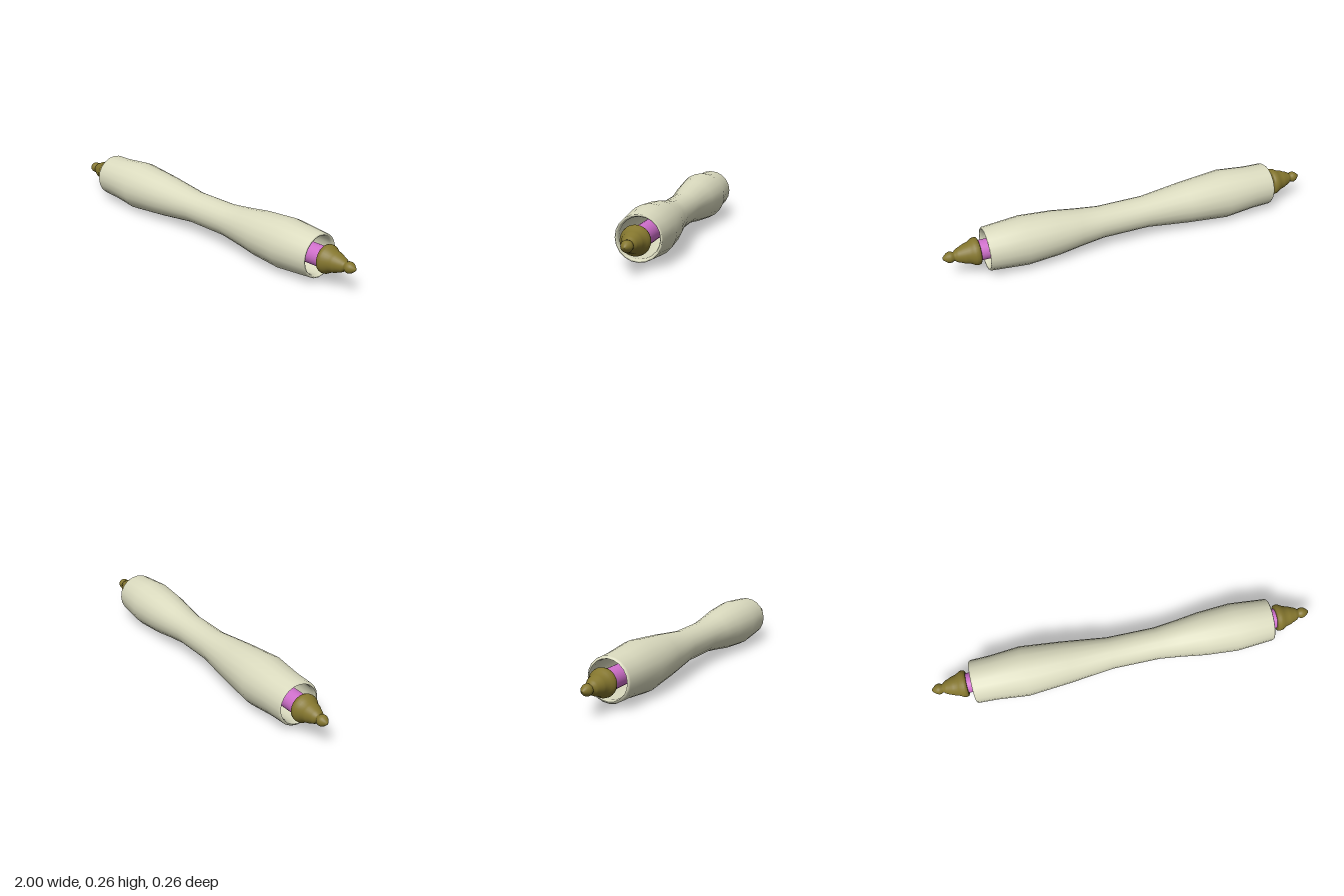
import * as THREE from 'three';

const AXIS_Y = 0.131;

// Revolve [x, radius] pairs around the long (x) axis
function turned(name, profile, segments, material) {
  const points = profile.map(([x, r]) => new THREE.Vector2(r, x));
  const geometry = new THREE.LatheGeometry(points, segments);
  geometry.rotateZ(-Math.PI / 2);
  const mesh = new THREE.Mesh(geometry, material);
  mesh.name = name;
  return mesh;
}

export function createModel() {
  const group = new THREE.Group();
  group.name = 'turnedRod';
  const ivory = new THREE.MeshStandardMaterial({ color: 0xdcdcc0, side: THREE.DoubleSide });
  const pink = new THREE.MeshStandardMaterial({ color: 0xd070cc });
  const bronze = new THREE.MeshStandardMaterial({ color: 0x84762e });

  // Hollow waisted sleeve: outer wall left to right, then inner wall back
  const outer = [
    [-0.79, 0.1], [-0.788, 0.106], [-0.78, 0.112], [-0.68, 0.115], [-0.52, 0.13],
    [-0.3, 0.11], [-0.07, 0.083], [0.18, 0.083], [0.3, 0.097], [0.42, 0.114],
    [0.59, 0.126], [0.7, 0.117], [0.783, 0.11], [0.787, 0.106],
  ];
  const inner = [
    [0.785, 0.1], [0.77, 0.095], [0.59, 0.105], [0.4, 0.096], [0.18, 0.066],
    [-0.07, 0.066], [-0.3, 0.092], [-0.52, 0.108], [-0.77, 0.095], [-0.79, 0.1],
  ];
  group.add(turned('sleeve', [...outer, ...inner], 20, ivory));

  // Core rod running through the sleeve
  group.add(turned('coreRod', [[-0.83, 0], [-0.83, 0.051], [0.83, 0.051], [0.83, 0]], 32, pink));

  // Stepped finials with a small bead at the tip, mirrored by a half turn
  const finialProfile = [
    [0.817, 0], [0.817, 0.06], [0.821, 0.067], [0.832, 0.07], [0.845, 0.068],
    [0.858, 0.06], [0.872, 0.053], [0.885, 0.05], [0.896, 0.047], [0.908, 0.041],
    [0.922, 0.036], [0.932, 0.031], [0.94, 0.023], [0.946, 0.022], [0.953, 0.027],
    [0.965, 0.028], [0.977, 0.024], [0.988, 0.015], [0.996, 0.008], [1, 0],
  ];
  for (const side of [1, -1]) {
    const finial = turned(side > 0 ? 'leftFinial' : 'rightFinial', finialProfile, 32, bronze);
    if (side < 0) finial.rotation.y = Math.PI;
    group.add(finial);
  }

  group.children.forEach((part) => { part.position.y = AXIS_Y; });
  return group;
}
